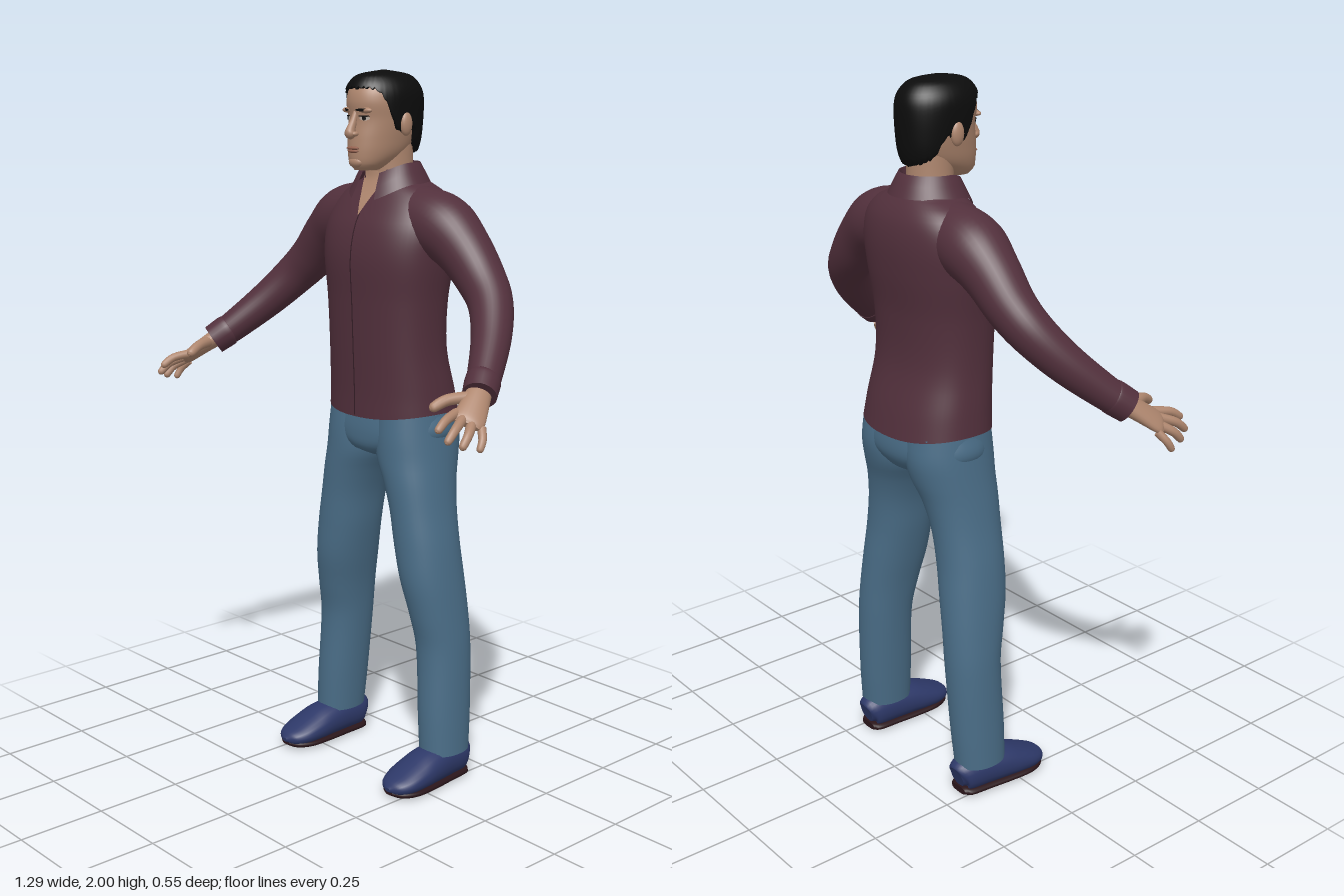
import * as THREE from 'three';

const V = (x, y, z) => new THREE.Vector3(x, y, z);
const spow = (v, e) => Math.sign(v) * Math.abs(v) ** (2 / e);
const paint = (color) => new THREE.MeshStandardMaterial({ color });

// Smooth interpolation of a table whose first column is the key
function sample(table, t) {
  const n = table.length;
  let k = 0;
  while (k < n - 2 && t > table[k + 1][0]) k++;
  const a = table[k], b = table[k + 1], h = b[0] - a[0];
  const s = Math.min(1, Math.max(0, (t - a[0]) / h)), s2 = s * s, s3 = s2 * s;
  const slope = (i, c) => {
    const p = table[Math.max(0, i - 1)], q = table[Math.min(n - 1, i + 1)];
    return (q[c] - p[c]) / (q[0] - p[0]);
  };
  return a.map((_, c) => (2 * s3 - 3 * s2 + 1) * a[c] + (s3 - 2 * s2 + s) * h * slope(k, c)
    + (3 * s2 - 2 * s3) * b[c] + (s3 - s2) * h * slope(k + 1, c));
}

// Skin over rows of points; caps get their own vertices so the rim stays sharp
function skin(rows, closed = true, caps = true) {
  const pos = [], idx = [], n = rows[0].length;
  rows.forEach((r) => r.forEach((p) => pos.push(p.x, p.y, p.z)));
  for (let i = 0; i < rows.length - 1; i++) {
    for (let j = 0; j < (closed ? n : n - 1); j++) {
      const a = i * n + j, b = i * n + (j + 1) % n;
      idx.push(a, b, a + n, b, b + n, a + n);
    }
  }
  if (closed && caps) [rows[0], rows[rows.length - 1]].forEach((r, end) => {
    const base = pos.length / 3, c = V(0, 0, 0);
    r.forEach((p) => { pos.push(p.x, p.y, p.z); c.addScaledVector(p, 1 / n); });
    pos.push(c.x, c.y, c.z);
    for (let j = 0; j < n; j++) {
      const p = base + j, q = base + (j + 1) % n;
      idx.push(...(end ? [p, q, base + n] : [q, p, base + n]));
    }
  });
  const g = new THREE.BufferGeometry();
  g.setAttribute('position', new THREE.Float32BufferAttribute(pos, 3));
  g.setIndex(idx);
  g.computeVertexNormals();
  return g;
}

// Point on an upright body; table rows are [y, centre x, half width, front z, back z]
function bodyPoint(table, e, y, th) {
  const [, xc, hw, zf, zb] = sample(table, y);
  return V(xc + spow(Math.sin(th), e) * hw, y, (zf + zb) / 2 + spow(Math.cos(th), e) * (zf - zb) / 2);
}
function body(table, e = 2, rows = 40, cols = 48, shift = null) {
  const y0 = table[0][0], y1 = table[table.length - 1][0];
  return skin(Array.from({ length: rows + 1 }, (_, i) => Array.from({ length: cols }, (_, j) => {
    const th = j / cols * Math.PI * 2;
    const p = bodyPoint(table, e, y0 + (y1 - y0) * i / rows, th);
    if (shift) shift(p, th);
    return p;
  })));
}
// Point lying just off the front of a body, at a given x and y
function onFront(table, e, x, y, off) {
  const hw = sample(table, y)[2];
  const p = bodyPoint(table, e, y, Math.asin(Math.min(1, Math.abs(x) / hw) ** (e / 2)));
  return V(x, y, p.z + off);
}
function patch(table, e, x, y, w, h, off) {
  return skin([1, 0.5, 0.01].map((r) => Array.from({ length: 20 }, (_, j) => {
    const a = j / 20 * Math.PI * 2;
    return onFront(table, e, x + Math.cos(a) * w * r, y + Math.sin(a) * h * r, off);
  })), true, false);
}

// Swept limb; points are [x, y, z, radius along hint, other radius]
function sweep(points, hint = V(0, 0, 1), e = 2, cols = 24, per = 6) {
  const table = points.map(([x, y, z, r, r2 = r], i) => [i, x, y, z, r, r2]);
  const at = (t) => V(...sample(table, t).slice(1, 4)), rows = [], last = points.length - 1;
  for (let i = 0; i <= last * per; i++) {
    const t = i / per, [, , , , r1, r2] = sample(table, t), c = at(t);
    const T = at(Math.min(last, t + 0.05)).sub(at(Math.max(0, t - 0.05))).normalize();
    const side = hint.clone().addScaledVector(T, -T.dot(hint)).normalize();
    const up = side.clone().cross(T);
    rows.push(Array.from({ length: cols }, (_, j) => {
      const a = j / cols * Math.PI * 2;
      return c.clone().addScaledVector(side, spow(Math.cos(a), e) * r1).addScaledVector(up, -spow(Math.sin(a), e) * r2);
    }));
  }
  return skin(rows);
}
function mirrored(geo) {
  const g = geo.clone().scale(-1, 1, 1), ix = g.index.array;
  for (let i = 0; i < ix.length; i += 3) [ix[i], ix[i + 1]] = [ix[i + 1], ix[i]];
  return g;
}
function ball(x, y, z, sx, sy, sz) {
  return new THREE.SphereGeometry(1, 20, 14).scale(sx, sy, sz).translate(x, y, z);
}

const TORSO = [[1.055, 0, .2, .03, -.265], [1.12, 0, .195, .03, -.252], [1.25, 0, .186, .035, -.222],
  [1.38, 0, .19, .04, -.222], [1.5, 0, .205, .045, -.238], [1.58, 0, .208, .03, -.243], [1.64, 0, .19, 0, -.235],
  [1.68, 0, .15, -.025, -.215], [1.71, 0, .085, -.04, -.19], [1.735, 0, .07, -.045, -.175]];
const PELVIS = [[.935, 0, .05, -.04, -.19], [.955, 0, .12, 0, -.225], [1, 0, .197, .012, -.25], [1.08, 0, .19, .005, -.245]];
const LEG = [[.09, .226, .061, -.035, -.188], [.2, .22, .064, -.035, -.197], [.4, .207, .069, -.04, -.205],
  [.5, .196, .072, -.022, -.204], [.6, .18, .078, -.003, -.2], [.7, .163, .082, .002, -.195], [.8, .145, .082, .004, -.2],
  [.88, .125, .09, .008, -.215], [.94, .106, .101, .01, -.235], [1, .1, .1, .01, -.247], [1.07, .096, .096, .005, -.242]];
const HEAD = [[1.735, 0, .028, .022, -.05], [1.75, 0, .045, .034, -.08], [1.78, 0, .062, .038, -.14], [1.82, 0, .072, .036, -.172],
  [1.87, 0, .08, .03, -.182], [1.92, 0, .083, .035, -.182], [1.96, 0, .072, .02, -.165], [1.985, 0, .042, -.015, -.13]];
const HAIR = [[1.76, 0, .062, 0, -.17], [1.8, 0, .078, .02, -.187], [1.85, 0, .087, .038, -.194], [1.92, 0, .091, .043, -.196],
  [1.95, 0, .086, .038, -.19], [1.975, 0, .07, .022, -.172], [1.99, 0, .048, -.005, -.145], [2, 0, .003, -.07, -.08]];
// Hairline height against angle from the front, in degrees
const HAIRLINE = [[0, 1.952], [40, 1.95], [55, 1.93], [66, 1.89], [76, 1.845], [90, 1.84], [104, 1.855], [122, 1.8], [180, 1.775]];

export function createModel() {
  const model = new THREE.Group();
  model.name = 'standingMan';
  const mats = { skin: paint(0xae866e), hair: paint(0x0c0c0c), shirt: paint(0x52303c), shirtSeam: paint(0x351e27),
    trousers: paint(0x4a6d87), shoe: paint(0x2d3868), sole: paint(0x2a151a), lips: paint(0x94614f), eyeWhite: paint(0xb9aca2) };
  for (const [k, m] of Object.entries(mats)) m.name = k;
  mats.shirt.side = mats.hair.side = THREE.DoubleSide;
  const add = (name, geo, mat) => {
    const m = new THREE.Mesh(geo, mat);
    m.name = name;
    model.add(m);
  };
  const pair = (name, geo, mat) => {
    add(name + 'Left', geo, mat);
    add(name + 'Right', mirrored(geo), mat);
  };

  // Shirt body with a hem that rises at the sides
  add('shirtBody', body(TORSO, 2.3, 50, 64, (p, th) => {
    p.y += 0.018 * Math.sin(th) ** 2 * Math.max(0, 1 - (p.y - 1.055) / 0.15);
  }), mats.shirt);

  // Button seam and open neck
  const strip = (y0, y1, half, off) => skin(Array.from({ length: 21 }, (_, i) => {
    const y = y0 + (y1 - y0) * i / 20;
    return [-1, -.5, 0, .5, 1].map((u) => onFront(TORSO, 2.3, u * half(y), y, off));
  }), false);
  add('buttonSeam', strip(1.06, 1.625, () => .0022, .002), mats.shirtSeam);
  add('openNeck', strip(1.615, 1.73, (y) => .001 + (y - 1.615) * .42, .005), mats.skin);

  // Folded collar: rows are [y, front drop, half width, front z, back z]
  const collarRows = [[1.7, .03, .07, -.036, -.172], [1.752, .03, .077, -.03, -.176],
    [1.754, .032, .083, -.022, -.182], [1.728, .045, .096, -.004, -.198], [1.698, .05, .112, .012, -.213]];
  add('collar', skin(collarRows.reverse().map(([y, drop, hw, zf, zb]) => Array.from({ length: 49 }, (_, j) => {
    const th = THREE.MathUtils.degToRad(24 + 312 * j / 48), c = Math.cos(th);
    return V(Math.sin(th) * hw, y - drop * Math.max(0, c) ** 2, (zf + zb) / 2 + c * (zf - zb) / 2);
  })), false), mats.shirt);

  // Sleeves and cuffs
  pair('sleeve', sweep([[.03, 1.612, -.11, .085], [.12, 1.605, -.112, .088], [.2, 1.583, -.115, .09], [.27, 1.535, -.115, .077],
    [.34, 1.465, -.11, .067], [.4, 1.405, -.088, .06], [.46, 1.33, -.03, .053], [.52, 1.25, .055, .045], [.548, 1.215, .1, .041]],
  V(0, 0, 1), 2, 32), mats.shirt);
  pair('cuff', sweep([[.527, 1.241, .066, .043], [.531, 1.236, .073, .0465], [.552, 1.21, .106, .0445]]), mats.shirt);

  // Hands
  const across = V(-.063, .035, .045).normalize();
  pair('palm', sweep([[.535, 1.23, .08, .03, .027], [.56, 1.2, .125, .035, .023], [.585, 1.164, .175, .041, .017],
    [.592, 1.153, .19, .034, .009]], across), mats.skin);
  const fingers = {
    indexFinger: [[.555, 1.178, .19], [.57, 1.17, .24], [.577, 1.146, .28]],
    middleFinger: [[.577, 1.167, .19], [.597, 1.15, .235], [.603, 1.12, .272]],
    ringFinger: [[.596, 1.154, .178], [.616, 1.134, .21], [.621, 1.104, .238]],
    littleFinger: [[.61, 1.144, .157], [.629, 1.12, .173], [.635, 1.092, .19]],
    thumb: [[.545, 1.208, .13], [.52, 1.205, .185], [.504, 1.185, .232]],
  };
  for (const [name, [a, b, c]] of Object.entries(fingers)) {
    const r = name === 'thumb' ? .015 : name === 'littleFinger' ? .0105 : .012;
    const near = b.map((v, i) => v + (c[i] - v) * .8);
    pair(name, sweep([[...a, r * 1.1], [...b, r], [...near, r * .85], [...c, r * .25]], V(1, 0, 0), 2, 12, 4), mats.skin);
  }

  // Trousers
  add('trouserSeat', body(PELVIS, 2.2, 16), mats.trousers);
  pair('trouserLeg', body(LEG, 2.15, 50, 40), mats.trousers);

  // Shoes, from heel to toe
  pair('shoe', sweep([[.222, .052, -.19, .026, .03], [.222, .058, -.17, .046, .05], [.224, .06, -.1, .054, .054], [.226, .056, -.04, .06, .05],
    [.227, .047, .01, .063, .041], [.228, .037, .06, .058, .03], [.228, .032, .095, .04, .02], [.228, .03, .113, .01, .006]],
  V(1, 0, 0), 2.2), mats.shoe);
  pair('sole', sweep([[.222, .012, -.185, .03, .01], [.222, .012, -.165, .046, .012], [.224, .012, -.1, .052, .012], [.226, .012, -.03, .058, .012],
    [.228, .013, .04, .06, .012], [.228, .016, .085, .044, .012], [.228, .02, .108, .014, .006]], V(1, 0, 0), 2.6), mats.sole);

  // Head, neck and ears
  add('neck', body([[1.64, 0, .075, -.04, -.175], [1.72, 0, .062, -.04, -.165], [1.82, 0, .06, -.03, -.165]], 2, 12), mats.skin);
  add('head', body(HEAD, 2.1), mats.skin);
  pair('ear', ball(.086, 1.858, -.078, .013, .032, .02).rotateY(0), mats.skin);

  // Face
  add('nose', sweep([[0, 1.89, .026, .007, .007], [0, 1.865, .035, .009, .01], [0, 1.842, .045, .012, .014],
    [0, 1.832, .047, .015, .014], [0, 1.822, .04, .009, .008]], V(1, 0, 0), 2, 16), mats.skin);
  pair('nostril', ball(.012, 1.832, .04, .008, .007, .011), mats.skin);
  pair('browRidge', ball(.033, 1.894, .021, .024, .008, .011), mats.skin);
  pair('eyebrow', patch(HEAD, 2.1, .034, 1.895, .021, .0038, .0085), mats.hair);
  pair('eyeWhite', patch(HEAD, 2.1, .032, 1.873, .0135, .0055, .002), mats.eyeWhite);
  pair('iris', patch(HEAD, 2.1, .032, 1.873, .0055, .0052, .0035), mats.hair);
  pair('upperLid', patch(HEAD, 2.1, .032, 1.879, .015, .002, .004), mats.hair);
  add('upperLip', ball(0, 1.794, .037, .024, .005, .008), mats.lips);
  add('lowerLip', ball(0, 1.786, .036, .02, .005, .009), mats.lips);
  add('chin', ball(0, 1.757, .024, .026, .016, .016), mats.skin);

  // Short hair with a slightly ragged edge tucked against the scalp
  const cols = 96;
  add('hair', skin(Array.from({ length: 25 }, (_, i) => Array.from({ length: cols }, (_, j) => {
    const th = j / cols * Math.PI * 2, deg = 180 - Math.abs(180 - j / cols * 360);
    const low = sample(HAIRLINE, deg)[1] + .004 * Math.sin(j * 2.4);
    const p = bodyPoint(HAIR, 2.1, low + (2 - low) * Math.sin(Math.max(0, i - 1) / 23 * Math.PI / 2), th);
    if (i === 0) p.set(p.x * .86, p.y, -.075 + (p.z + .075) * .86);
    return p;
  }))), mats.hair);

  return model;
}
